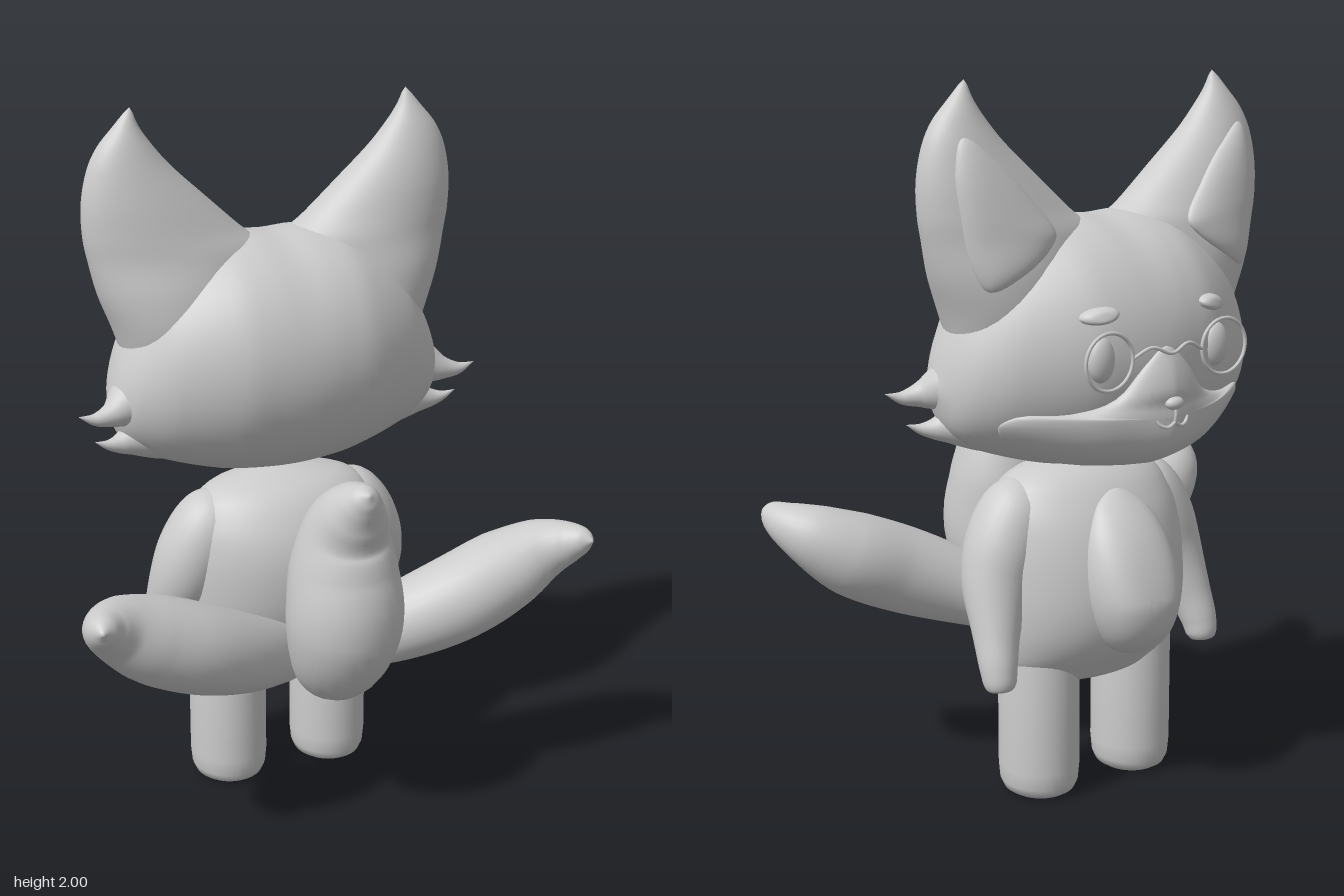
import * as THREE from 'three';
import { mergeVertices } from 'three/addons/utils/BufferGeometryUtils.js';

const grey = new THREE.MeshStandardMaterial({ color: 0xcccccc });
grey.name = 'lightGrey';

// Closed smooth surface from a rule (u along, v around); winding is turned outward by signed volume
function surface(fn, nu = 40, nv = 40) {
  const pos = [], idx = [];
  for (let i = 0; i <= nu; i++) for (let j = 0; j < nv; j++) pos.push(...fn(i / nu, (j / nv) * Math.PI * 2));
  for (let i = 0; i < nu; i++) for (let j = 0; j < nv; j++) {
    const a = i * nv + j, b = i * nv + (j + 1) % nv;
    idx.push(a, b, a + nv, b, b + nv, a + nv);
  }
  const p = k => new THREE.Vector3().fromArray(pos, k * 3);
  let volume = 0;
  for (let k = 0; k < idx.length; k += 3) volume += p(idx[k]).dot(p(idx[k + 1]).cross(p(idx[k + 2])));
  if (volume < 0) idx.reverse();
  const g = new THREE.BufferGeometry();
  g.setAttribute('position', new THREE.Float32BufferAttribute(pos, 3));
  g.setIndex(idx);
  const merged = mergeVertices(g, 1e-5);
  merged.computeVertexNormals();
  return merged;
}

// Smooth lookup of the values in rows [key, a, b, ...]
function lookup(rows) {
  const slope = (i, k) => {
    const a = rows[Math.max(i - 1, 0)], b = rows[Math.min(i + 1, rows.length - 1)];
    return (b[k] - a[k]) / (b[0] - a[0]);
  };
  return key => {
    let i = 0;
    while (i < rows.length - 2 && key > rows[i + 1][0]) i++;
    const a = rows[i], b = rows[i + 1], d = b[0] - a[0];
    const t = THREE.MathUtils.clamp((key - a[0]) / d, 0, 1), t2 = t * t, t3 = t2 * t;
    return a.slice(1).map((v, n) => (2 * t3 - 3 * t2 + 1) * v + (3 * t2 - 2 * t3) * b[n + 1]
      + (t3 - 2 * t2 + t) * d * slope(i, n + 1) + (t3 - t2) * d * slope(i + 1, n + 1));
  };
}

// Tapered sweep through points [x, y, z, radius]
function sweep(points, ref, side = 1) {
  const path = new THREE.CatmullRomCurve3(points.map(p => new THREE.Vector3(p[0] * side, p[1], p[2])));
  const radius = lookup(points.map((p, i) => [i, p[3]]));
  const up = new THREE.Vector3(...ref);
  return surface((u, v) => {
    const c = path.getPoint(u), t = path.getTangent(u);
    const n = t.clone().cross(up).normalize(), b = t.clone().cross(n);
    const r = Math.max(0, radius(u * (points.length - 1))[0]);
    return c.addScaledVector(n, r * Math.cos(v)).addScaledVector(b, r * Math.sin(v)).toArray();
  }, 48, 28);
}

// Puffy pad with an xy outline, lying on a forward surface z(x, y)
function pad(outline, z, height, side = 1, depth = 0.03) {
  const edge = new THREE.CatmullRomCurve3(outline.map(p => new THREE.Vector3(p[0], p[1], 0)), true);
  const mid = outline.reduce((s, p) => [s[0] + p[0] / outline.length, s[1] + p[1] / outline.length], [0, 0]);
  return surface((u, v) => {
    if (u > 0.99) return [mid[0] * side, mid[1], z(...mid) + depth + 0.08];
    const s = Math.min(1, u / 0.9), r = Math.sin(s * Math.PI / 2), e = edge.getPoint(v / Math.PI / 2);
    const x = mid[0] + (e.x - mid[0]) * r, y = mid[1] + (e.y - mid[1]) * r;
    const h = typeof height === 'function' ? height(x, y) : height;
    const lift = u > 0.92 ? -depth : h * Math.sqrt(Math.max(0, 1 - r ** 4));
    return [x * side, y, z(x, y) - lift];
  }, 20, 64);
}

const oval = (cx, cy, rx, ry, tilt = 0) => Array.from({ length: 12 }, (_, i) => {
  const a = i * Math.PI / 6, x = rx * Math.cos(a), y = ry * Math.sin(a);
  return [cx + x * Math.cos(tilt) - y * Math.sin(tilt), cy + x * Math.sin(tilt) + y * Math.cos(tilt)];
});
const arc = (c, r, d) => c - r * Math.sqrt(Math.max(0, 1 - d * d));

// Head sections by x: bottom, top, front, back
const headAt = lookup([
  [-0.1, 0.96, 1.64, -0.442, 0.174], [0, 0.955, 1.635, -0.45, 0.18], [0.1, 0.96, 1.64, -0.442, 0.174],
  [0.2, 0.975, 1.62, -0.42, 0.155], [0.35, 1.02, 1.525, -0.335, 0.08], [0.43, 1.06, 1.41, -0.265, 0.015],
  [0.475, 1.11, 1.31, -0.2, -0.035], [0.5, 1.19, 1.21, -0.12, -0.09]]);
const headFront = (x, y) => {
  const [y0, y1, z0, z1] = headAt(Math.abs(x));
  return arc((z0 + z1) / 2, (z1 - z0) / 2, (2 * y - y0 - y1) / (y1 - y0));
};

// Ear sections by y: inner, outer, front, back
const earAt = lookup([
  [1.3, 0.16, 0.44, -0.25, 0], [1.4, 0.1, 0.472, -0.285, 0.03], [1.5, 0.05, 0.51, -0.29, 0.025],
  [1.6, 0.03, 0.535, -0.272, 0], [1.66, 0.1, 0.546, -0.257, -0.015], [1.75, 0.2, 0.548, -0.233, -0.035],
  [1.84, 0.298, 0.53, -0.205, -0.06], [1.9, 0.35, 0.5, -0.182, -0.08],
  [1.95, 0.385, 0.456, -0.16, -0.102], [2, 0.405, 0.412, -0.134, -0.126]]);
const earFront = (x, y) => {
  const [x0, x1, z0, z1] = earAt(y);
  return arc((z0 + z1) / 2, (z1 - z0) / 2, (2 * x - x0 - x1) / (x1 - x0));
};

// Torso sections by y: half width, front, back
const torsoAt = lookup([
  [0.32, 0.06, -0.15, -0.05], [0.335, 0.19, -0.2, 0], [0.38, 0.262, -0.245, 0.04], [0.44, 0.285, -0.295, 0.085],
  [0.52, 0.3, -0.325, 0.125], [0.62, 0.308, -0.33, 0.15], [0.75, 0.305, -0.305, 0.15], [0.85, 0.28, -0.26, 0.115],
  [0.93, 0.205, -0.19, 0.045], [0.975, 0.02, -0.09, -0.07]]);
const torsoFront = (x, y) => {
  const [w, z0, z1] = torsoAt(y);
  return Math.min(-0.22, arc((z0 + z1) / 2, (z1 - z0) / 2, x / w));
};

export function createModel() {
  const model = new THREE.Group();
  model.name = 'fox';
  const add = (name, geometry, x = 0, y = 0, z = 0) => {
    const mesh = new THREE.Mesh(geometry, grey);
    mesh.name = name;
    mesh.position.set(x, y, z);
    model.add(mesh);
    return mesh;
  };
  const wire = (name, pts, r) => add(name, new THREE.TubeGeometry(
    new THREE.CatmullRomCurve3(pts.map(p => new THREE.Vector3(...p))), 24, r, 8));

  add('head', surface((u, v) => {
    const x = -0.5 * Math.cos(u * Math.PI), [y0, y1, z0, z1] = headAt(Math.abs(x));
    const k = u === 0 || u === 1 ? 0 : 0.5;
    return [x, (y0 + y1) / 2 + (y1 - y0) * k * Math.sin(v), (z0 + z1) / 2 + (z1 - z0) * k * Math.cos(v)];
  }, 64, 48));
  add('torso', surface((u, v) => {
    const y = 0.32 + 0.655 * (1 - Math.cos(u * Math.PI)) / 2, [w, z0, z1] = torsoAt(y);
    const k = u === 0 || u === 1 ? 0 : 1;
    return [w * k * Math.cos(v), y, (z0 + z1) / 2 + k * (z1 - z0) / 2 * Math.sin(v)];
  }));
  add('bellyPatch', pad(oval(0, 0.66, 0.138, 0.228), torsoFront,
    (x, y) => 0.1 - 0.2 * THREE.MathUtils.clamp(y - 0.6, 0, 0.3)));

  // Lower face mask, deepest under the chin
  add('muzzle', pad([[0, 1.32], [0.07, 1.27], [0.14, 1.19], [0.25, 1.155], [0.37, 1.15], [0.4, 1.12], [0.34, 1.05],
    [0.2, 0.99], [0, 0.968], [-0.2, 0.99], [-0.34, 1.05], [-0.4, 1.12], [-0.37, 1.15], [-0.25, 1.155],
    [-0.14, 1.19], [-0.07, 1.27]], headFront, (x, y) => {
    const low = THREE.MathUtils.clamp((1.17 - y) / 0.2, 0, 1);
    return (0.055 + 0.105 * low) * (1 - 1.6 * Math.abs(x)) - 0.03 * THREE.MathUtils.clamp((y - 1.2) / 0.1, 0, 1);
  }));
  add('nose', new THREE.SphereGeometry(1, 20, 14), 0, 1.175, -0.486).scale.set(0.028, 0.018, 0.02);
  wire('mouthLine', [[0, 1.165, -0.492], [0, 1.145, -0.494], [0, 1.125, -0.491]], 0.005);
  wire('glassesBridge', [[-0.115, 1.3, -0.457], [-0.06, 1.325, -0.467], [0, 1.305, -0.475],
    [0.06, 1.325, -0.467], [0.115, 1.3, -0.457]], 0.005);

  // Middle tail, curling upward
  add('middleTail', sweep([[0, 0.43, 0.06, 0.03], [0, 0.45, 0.17, 0.075], [0, 0.52, 0.29, 0.135], [0, 0.65, 0.345, 0.162],
    [0, 0.8, 0.335, 0.15], [0, 0.91, 0.35, 0.122], [0, 0.985, 0.4, 0.09], [0, 1.03, 0.445, 0.055],
    [0, 1.05, 0.47, 0.032], [0, 1.06, 0.487, 0]], [1, 0, 0]));

  for (const s of [1, -1]) {
    const n = s > 0 ? 'left' : 'right';
    add(n + 'Ear', surface((u, v) => {
      const [x0, x1, z0, z1] = earAt(1.3 + 0.7 * u), k = u === 0 || u === 1 ? 0 : 0.5;
      return [s * ((x0 + x1) / 2 + (x1 - x0) * k * Math.cos(v)), 1.3 + 0.7 * u,
        (z0 + z1) / 2 + (z1 - z0) * k * Math.sin(v)];
    }, 48));
    add(n + 'InnerEar', pad([[0.455, 1.86], [0.37, 1.8], [0.28, 1.7], [0.22, 1.61], [0.25, 1.57], [0.34, 1.51],
      [0.42, 1.475], [0.455, 1.53], [0.48, 1.66], [0.485, 1.78]], earFront, 0.022, s, 0.01));

    // Cheek tufts
    add(n + 'UpperTuft', sweep([[0.3, 1.22, -0.125, 0.16], [0.38, 1.215, -0.11, 0.125], [0.45, 1.203, -0.085, 0.074],
      [0.51, 1.187, -0.06, 0.036], [0.56, 1.183, -0.05, 0.018], [0.61, 1.198, -0.045, 0]], [0, 1, 0], s));
    add(n + 'LowerTuft', sweep([[0.3, 1.12, -0.125, 0.11], [0.38, 1.105, -0.105, 0.08], [0.44, 1.098, -0.09, 0.05],
      [0.485, 1.094, -0.078, 0.028], [0.52, 1.098, -0.07, 0.014], [0.56, 1.113, -0.065, 0]], [0, 1, 0], s));

    // Eyes, brows, glasses and smile
    add(n + 'Eye', new THREE.SphereGeometry(1, 24, 16), 0.19 * s, 1.3, -0.421).scale.set(0.04, 0.06, 0.026);
    add(n + 'Eyebrow', pad(oval(0.185, 1.412, 0.05, 0.021, -0.15), headFront, 0.025, s, 0.01));
    add(n + 'GlassesRim', new THREE.TorusGeometry(0.075, 0.005, 8, 40), 0.19 * s, 1.3, -0.457);
    wire(n + 'Smile', [[0, 1.125, -0.491], [0.02 * s, 1.113, -0.489], [0.04 * s, 1.118, -0.483],
      [0.052 * s, 1.132, -0.476]], 0.005);

    // Limbs
    add(n + 'Arm', sweep([[0.16, 0.87, -0.075, 0.06], [0.21, 0.83, -0.075, 0.1], [0.26, 0.75, -0.08, 0.109],
      [0.3, 0.65, -0.095, 0.098], [0.335, 0.52, -0.145, 0.068], [0.352, 0.43, -0.18, 0.053],
      [0.355, 0.385, -0.192, 0.045], [0.355, 0.367, -0.195, 0.032], [0.355, 0.36, -0.196, 0]], [0, 0, 1], s));
    const leg = [[0, 0], [0.08, 0], [0.098, 0.012], [0.108, 0.035], [0.112, 0.08], [0.112, 0.4], [0.09, 0.45], [0, 0.47]];
    add(n + 'Leg', new THREE.LatheGeometry(leg.map(p => new THREE.Vector2(...p)), 36), 0.163 * s, 0, -0.1).scale.z = 1.08;

    add(n + 'Tail', sweep([[0, 0.43, 0.09, 0.05], [0.1, 0.475, 0.14, 0.085], [0.25, 0.54, 0.215, 0.112],
      [0.4, 0.605, 0.262, 0.125], [0.54, 0.67, 0.28, 0.12], [0.64, 0.73, 0.315, 0.092], [0.695, 0.765, 0.37, 0.062],
      [0.718, 0.785, 0.42, 0.035], [0.728, 0.79, 0.45, 0]], [0, 1, 0], s));
  }
  return model;
}
